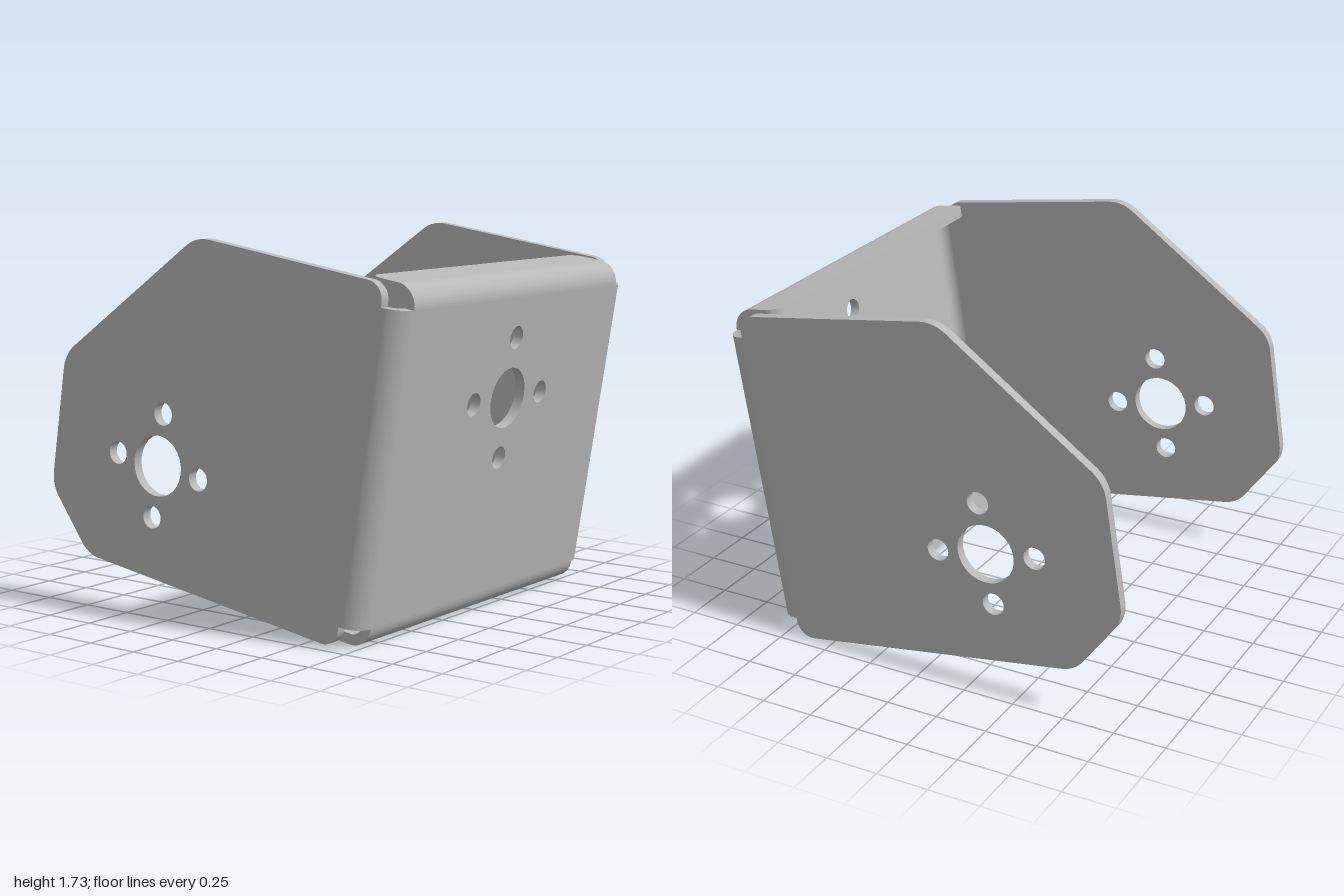
import * as THREE from 'three';
import { toCreasedNormals } from 'three/addons/utils/BufferGeometryUtils.js';

const T = 0.048;               // sheet thickness
const R = 0.1;                 // outer bend radius
const HALF = 0.853;            // half width of the flat front panel
const OUT = HALF + R;          // outer half width
const LOW = 0.205, HIGH = 1.605; // front panel, between the bends
const ZB = 0.659;              // depth where the bends begin

// Closed outline from [x, y, cornerRadius] points
function roundedShape(points) {
  const shape = new THREE.Shape();
  const n = points.length;
  points.forEach(([x, y, r], i) => {
    const p = new THREE.Vector2(x, y);
    const a = new THREE.Vector2(...points[(i + n - 1) % n].slice(0, 2)).sub(p).normalize();
    const b = new THREE.Vector2(...points[(i + 1) % n].slice(0, 2)).sub(p).normalize();
    const turn = Math.PI - Math.acos(a.dot(b));
    const len = r * Math.tan(turn / 2);
    const ctl = len - r * (4 / 3) * Math.tan(turn / 4);
    const at = (dir, d) => [x + dir.x * d, y + dir.y * d];
    const start = at(a, len);
    if (i === 0) shape.moveTo(...start); else shape.lineTo(...start);
    if (r > 0) shape.bezierCurveTo(...at(a, ctl), ...at(b, ctl), ...at(b, len));
  });
  shape.closePath();
  return shape;
}

// Large centre hole ringed by four small ones
function addHoles(shape, cx, cy, spacing) {
  const hole = (x, y, r) => shape.holes.push(new THREE.Path().absarc(x, y, r, 0, Math.PI * 2, true));
  hole(cx, cy, 0.141);
  for (let i = 0; i < 4; i++) {
    const a = i * Math.PI / 2;
    hole(cx + spacing * Math.cos(a), cy + spacing * Math.sin(a), 0.053);
  }
}

// Quarter ring cross-section of a bend
function bendShape(cx, cy, from) {
  const s = new THREE.Shape();
  s.absarc(cx, cy, R, from, from + Math.PI / 2, false);
  s.absarc(cx, cy, R - T, from + Math.PI / 2, from, true);
  s.closePath();
  return s;
}

function extrude(shape, depth) {
  return new THREE.ExtrudeGeometry(shape, { depth, bevelEnabled: false, curveSegments: 14 });
}

export function createModel() {
  const model = new THREE.Group();
  model.name = 'motorBracket';
  const tilted = new THREE.Group();
  tilted.name = 'tiltedBracket';
  tilted.rotation.x = THREE.MathUtils.degToRad(9);
  model.add(tilted);

  const steel = new THREE.MeshStandardMaterial({ color: 0xb8b8b8 });
  steel.name = 'grey steel';
  const add = (name, geometry) => {
    const mesh = new THREE.Mesh(toCreasedNormals(geometry, Math.PI / 6), steel);
    mesh.name = name;
    tilted.add(mesh);
  };

  // Front panel
  const front = roundedShape([[-HALF, LOW, 0], [HALF, LOW, 0], [HALF, HIGH, 0], [-HALF, HIGH, 0]]);
  addHoles(front, 0, 1.138, 0.281);
  add('frontPanel', extrude(front, T).translate(0, 0, ZB + R - T));

  // Side plates, drawn in depth and height
  const side = roundedShape([
    [ZB, LOW - R, 0.08], [ZB, HIGH + R, 0.08], [-0.367, HIGH + R, 0.18],
    [-1.08, 1.013, 0.17], [-1.08, 0.375, 0.16], [-0.81, LOW - R, 0.16],
  ]);
  addHoles(side, -0.445, 0.633, 0.244);
  for (const [name, outerX] of [['left', OUT], ['right', -OUT + T]]) {
    add(name + 'SidePlate', extrude(side, T).rotateY(-Math.PI / 2).translate(outerX, 0, 0));
  }

  // Bends joining the side plates to the front panel
  for (const [name, x, from] of [['left', HALF, 0], ['right', -HALF, Math.PI / 2]]) {
    add(name + 'SideBend',
      extrude(bendShape(x, ZB, from), HIGH - LOW).rotateX(Math.PI / 2).translate(0, HIGH, 0));
  }

  // Short top and bottom flanges with their bends
  const flange = roundedShape([
    [-HALF, -ZB, 0], [HALF, -ZB, 0], [HALF, -0.51, 0.065], [-HALF, -0.51, 0.065],
  ]);
  for (const [name, bendY, from, plateY] of [
    ['top', HIGH, 0, HIGH + R - T], ['bottom', LOW, -Math.PI / 2, LOW - R],
  ]) {
    add(name + 'Flange', extrude(flange, T).rotateX(-Math.PI / 2).translate(0, plateY, 0));
    add(name + 'FlangeBend',
      extrude(bendShape(ZB, bendY, from), HALF * 2).rotateY(-Math.PI / 2).translate(HALF, 0, 0));
  }

  return model;
}
